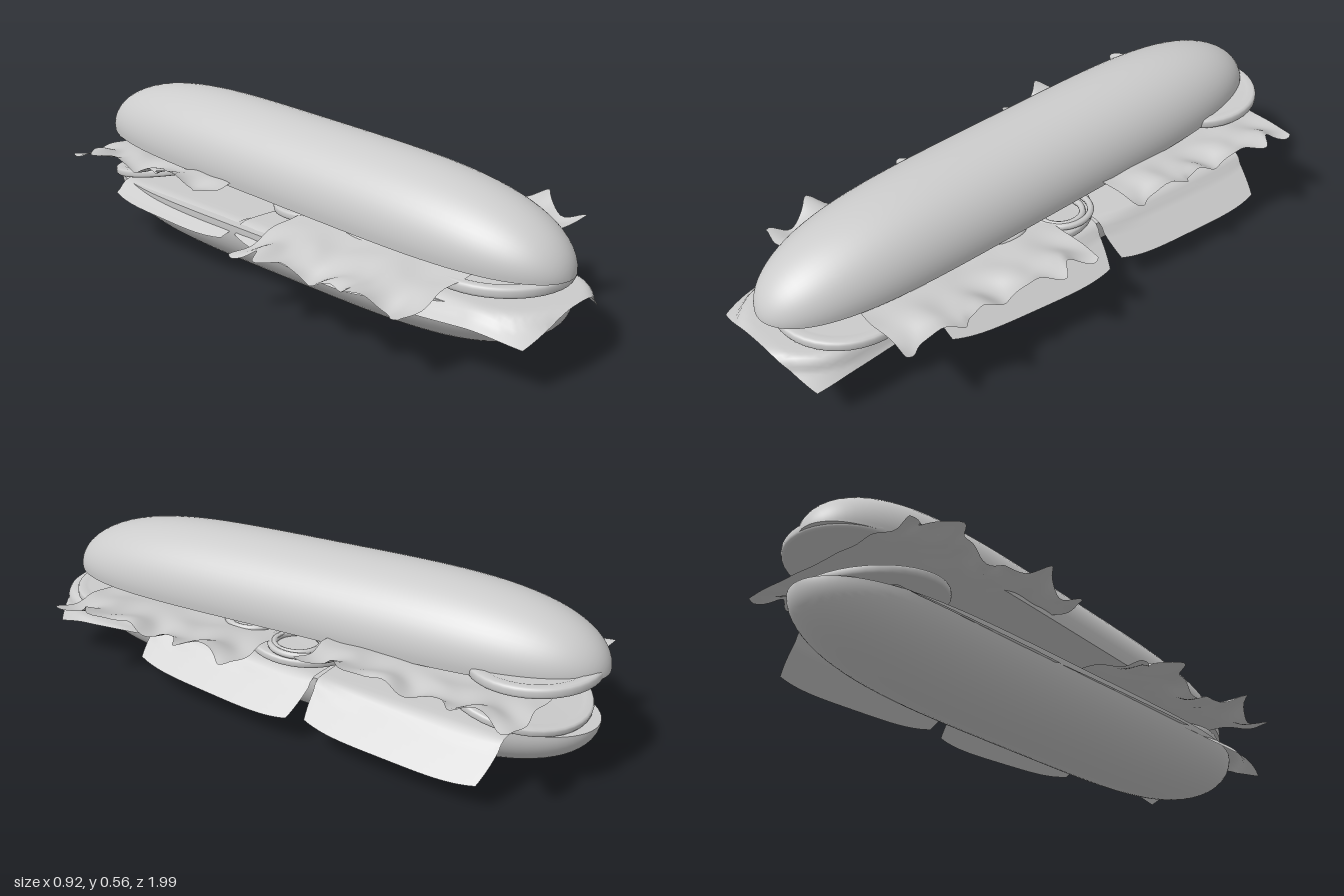
import * as THREE from 'three';

const { sin, cos, abs, max, min, sqrt, hypot, exp, PI } = Math;
const mat = new THREE.MeshStandardMaterial({ color: 0xcccccc, side: THREE.DoubleSide });

// Grid surface: fn maps (u, v) in 0..1 to [x, y, z]
function surface(name, nu, nv, fn) {
  const geo = new THREE.PlaneGeometry(1, 1, nu, nv);
  const p = geo.attributes.position;
  for (let i = 0; i < p.count; i++) p.setXYZ(i, ...fn(p.getX(i) + 0.5, p.getY(i) + 0.5));
  geo.computeVertexNormals();
  const mesh = new THREE.Mesh(geo, mat);
  mesh.name = name;
  return mesh;
}

// Rounded end taper along a loaf, t from -1 to 1
const taper = (t, n) => sqrt(max(0, 1 - abs(t) ** n));
// Packs the rows of a loaf towards its ends, front (1) to back (-1)
const along = (v) => cos(v * PI);

// Half loaf: rounded crust plus the flat cut face
function bun(name, dir, { z0, z1, width, height, lip, cx, cutY }) {
  const point = (a, t, flat) => {
    const z = (z0 + z1) / 2 + t * (z1 - z0) / 2;
    const h = height * taper(t, 4) / (1 + sin(lip));
    const x = cx(z) + width * taper(t, 4.8) * (flat === undefined ? cos(a) : flat * cos(lip));
    const y = cutY(z) + (flat === undefined ? dir * h * (sin(a) + sin(lip)) : 0);
    return [x, y, z];
  };
  const group = new THREE.Group();
  group.name = name;
  group.add(
    surface(name + 'Crust', 32, 56, (u, v) => {
      const a = -lip + (dir > 0 ? 1 - u : u) * (PI + 2 * lip);
      return point(a, along(v));
    }),
    surface(name + 'CutFace', 4, 56, (u, v) => point(0, along(v), dir * (1 - 2 * u))));
  return group;
}

// Round slice with a softened rim
function slice(name, r, t, [x, y, z], tiltX = 0) {
  const h = t / 2, b = h * 0.6;
  const pts = [[0, -h], [r - b, -h], [r - b * 0.3, -h + b * 0.3], [r, -h + b], [r, h - b],
    [r - b * 0.3, h - b * 0.3], [r - b, h], [r - 0.03, h], [r - 0.04, h - 0.004], [0, h - 0.004]];
  const mesh = new THREE.Mesh(new THREE.LatheGeometry(pts.map((p) => new THREE.Vector2(...p)), 40), mat);
  mesh.name = name;
  mesh.position.set(x, y, z);
  mesh.rotation.x = tiltX;
  return mesh;
}

// Thin rounded square slice that folds down where it passes the edge of the lower bun
function meat(name, cx, cz, w, d, turn, y, foldLeft, foldRight) {
  return surface(name, 32, 32, (u, v) => {
    const p = u * 2 - 1, q = 1 - v * 2;
    const a = p * (1 - 0.07 * q ** 4) * w / 2, b = q * (1 - 0.07 * p ** 4) * d / 2;
    const x = cx + a * cos(turn) + b * sin(turn);
    const z = cz - a * sin(turn) + b * cos(turn);
    const zc = min(0.78, max(-0.8, z));
    const dist = hypot(x, z - zc) || 1;
    const over = max(0, dist - 0.19);
    const fold = (x < 0 ? foldLeft : foldRight) * min(1, over / 0.05);
    const k = (dist - over * (1 - cos(fold))) / dist;
    return [x * k, y - over * sin(fold), zc + (z - zc) * k];
  });
}

// Frilled leaf: wavy towards both long edges, with two points on each
function lettuce(name, cz, size, yLeft, yMid, yRight, slope) {
  const bump = (t, c) => exp(-(((t - c) / 0.05) ** 2));
  return surface(name, 56, 56, (u, v) => {
    const s = u * 2 - 1, t = 1 - v, e = abs(s);
    const reach = 0.375 + 0.065 * (bump(t, 0.24) + bump(t, 0.75))
      + 0.025 * (bump(t, 0.02) + bump(t, 0.98)) + 0.006 * sin(t * 40);
    const x = size * s * (0.39 + (reach - 0.39) * e ** 4);
    const frill = e ** 3 * (0.02 * cos(12.3 * (t - 0.24)) + 0.01 * sin(t * 30 + s * 3));
    const ruffle = 0.009 * e * e * sin(e * 14 + sin(t * 12.3) * 1.5);
    const side = (s > 0 ? yRight : yLeft) - yMid;
    const z = cz + (t - 0.5) * 0.7 + 0.008 * e * sin(s * 14);
    return [x, yMid + side * e ** 1.6 + frill + ruffle + slope * (t - 0.5), z];
  });
}

function onion(name, r, x, y, z, tilt) {
  const mesh = new THREE.Mesh(new THREE.TorusGeometry(r, 0.011, 8, 32), mat);
  mesh.name = name;
  mesh.position.set(x, y, z);
  mesh.rotation.set(PI / 2, tilt, 0);
  return mesh;
}

export function createModel() {
  const model = new THREE.Group();
  model.name = 'sandwich';

  // Bread
  model.add(
    bun('bottomBun', -1, { z0: -0.995, z1: 0.96, width: 0.222, height: 0.2, lip: 0.02,
      cx: () => -0.022, cutY: () => 0.202 }),
    bun('topBun', 1, { z0: -1, z1: 0.955, width: 0.21, height: 0.225, lip: 0.16,
      cx: (z) => -0.02 + 0.025 * z, cutY: (z) => 0.318 - 0.045 * z }));

  // Meat slices over the lower bun
  model.add(
    meat('frontMeat', -0.01, 0.69, 0.54, 0.58, 0.1, 0.214, 0.65, 0.95),
    meat('middleMeat', 0.03, 0.16, 0.66, 0.65, -0.06, 0.21, 0.5, 0.7),
    meat('backMeat', 0.035, -0.49, 0.67, 0.64, -0.03, 0.207, 0.5, 0.7));

  // Tomato slices
  model.add(
    slice('frontTomato', 0.222, 0.034, [0.036, 0.239, 0.69]),
    slice('secondTomato', 0.2, 0.026, [0.05, 0.25, 0.3], 0.1),
    slice('thirdTomato', 0.19, 0.026, [0.05, 0.248, -0.02], -0.06),
    slice('backTomato', 0.23, 0.026, [-0.02, 0.25, -0.735], -0.17),
    slice('upperTomato', 0.205, 0.034, [0.0, 0.362, -0.79], 0.045));

  // Onion rings
  model.add(
    onion('onionRing', 0.1, 0.13, 0.268, -0.06, 0.05),
    onion('onionRing', 0.075, 0.14, 0.27, -0.05, 0.05),
    onion('onionRing', 0.09, 0.08, 0.285, 0.16, -0.05));

  // Lettuce leaves
  model.add(
    lettuce('frontLettuce', 0.365, 1.05, 0.215, 0.272, 0.305, 0),
    lettuce('backLettuce', -0.545, 0.9, 0.335, 0.33, 0.35, 0.02));
  return model;
}
